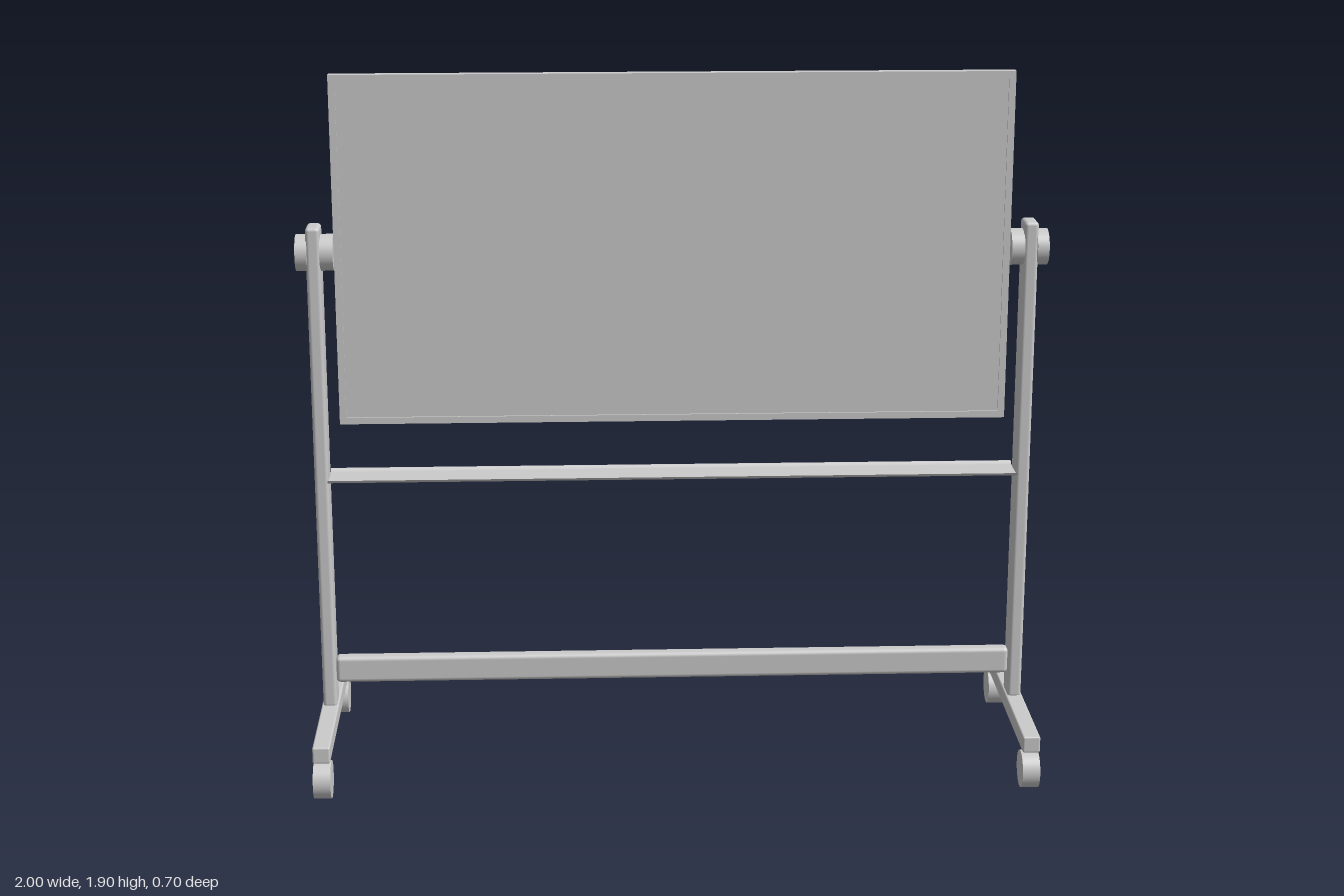
import * as THREE from 'three';
import { RoundedBoxGeometry } from 'three/addons/geometries/RoundedBoxGeometry.js';

const material = new THREE.MeshStandardMaterial({ color: 0xcccccc });

export function createModel() {
  const model = new THREE.Group();
  model.name = 'mobileWhiteboard';

  const add = (name, geometry, x, y, z, parent = model) => {
    const mesh = new THREE.Mesh(geometry, material);
    mesh.name = name;
    mesh.position.set(x, y, z);
    parent.add(mesh);
    return mesh;
  };
  const bar = (w, h, d, r) => new RoundedBoxGeometry(w, h, d, 3, r);
  // Cylinder lying along x
  const disc = (radius, width) => new THREE.CylinderGeometry(radius, radius, width, 40).rotateZ(Math.PI / 2);

  const rectangle = (Type, w, h) => {
    const path = new Type();
    path.moveTo(-w / 2, -h / 2);
    path.lineTo(w / 2, -h / 2);
    path.lineTo(w / 2, h / 2);
    path.lineTo(-w / 2, h / 2);
    path.closePath();
    return path;
  };

  // Writing board: a thin frame around a panel recessed on both sides
  const boardWidth = 1.8, boardHeight = 0.945, boardY = 1.4325, border = 0.018;
  const outline = rectangle(THREE.Shape, boardWidth, boardHeight);
  outline.holes.push(rectangle(THREE.Path, boardWidth - 2 * border, boardHeight - 2 * border));
  const frame = new THREE.ExtrudeGeometry(outline, { depth: 0.026, bevelEnabled: false });
  add('boardFrame', frame, 0, boardY, -0.013);
  add('boardPanel', new THREE.BoxGeometry(boardWidth - 2 * border, boardHeight - 2 * border, 0.016), 0, boardY, 0);

  // Pen tray: thin sheet with both long edges curled up
  const half = 0.06, flat = 0.045, low = 0.805, high = 0.815, thick = 0.003;
  const profile = new THREE.Shape();
  profile.moveTo(-half, high);
  profile.quadraticCurveTo(-half + 0.005, low, -flat, low);
  profile.lineTo(flat, low);
  profile.quadraticCurveTo(half - 0.005, low, half, high);
  profile.lineTo(half - thick, high);
  profile.quadraticCurveTo(half - 0.008, low + thick, flat, low + thick);
  profile.lineTo(-flat, low + thick);
  profile.quadraticCurveTo(-half + 0.008, low + thick, -half + thick, high);
  profile.closePath();
  const tray = new THREE.ExtrudeGeometry(profile, { depth: 1.87, bevelEnabled: false, curveSegments: 6 });
  tray.rotateY(Math.PI / 2);
  add('penTray', tray, -0.935, 0, 0);

  // Lower cross rail between the posts
  add('crossRail', bar(1.87, 0.075, 0.04, 0.012), 0, 0.2525, 0);

  // Side stands, mirrored left and right
  for (const side of [1, -1]) {
    const stand = new THREE.Group();
    stand.name = side > 0 ? 'leftStand' : 'rightStand';
    model.add(stand);
    const x = side * 0.953;
    add('post', bar(0.038, 1.355, 0.076, 0.01), x, 0.8275, 0, stand);
    add('foot', bar(0.047, 0.046, 0.668, 0.005), x, 0.133, 0, stand);

    // Pivot clamp discs on either side of the post, joined by an axle
    add('innerPivotDisc', disc(0.049, 0.035), side * 0.9175, 1.432, 0, stand);
    add('outerPivotDisc', disc(0.049, 0.031), side * 0.9845, 1.432, 0, stand);
    add('pivotAxle', disc(0.015, 0.08), side * 0.95, 1.432, 0, stand);

    // Caster wheels under both ends of the foot
    for (const end of [1, -1]) {
      add('casterWheel', disc(0.051, 0.047), x, 0.051, end * 0.3, stand);
      add('casterStem', new THREE.CylinderGeometry(0.01, 0.01, 0.03, 16), x, 0.1, end * 0.3, stand);
    }
  }
  return model;
}
